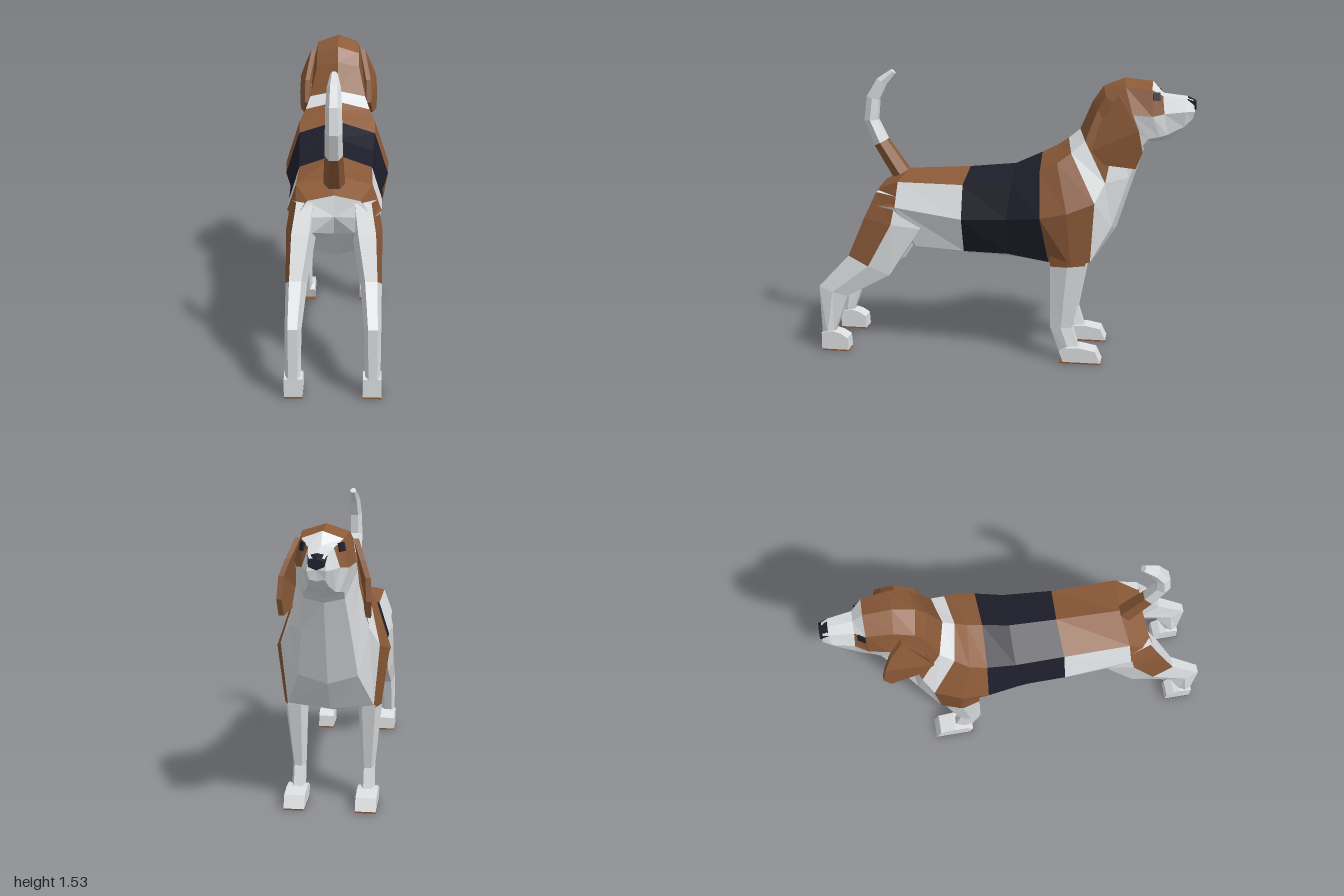
import * as THREE from 'three';

const mat = (name, color) => Object.assign(new THREE.MeshStandardMaterial({ color }), { name });

export function createModel() {
  const brown = mat('brown coat', 0x8b5a38);
  const white = mat('white coat', 0xdcdfe1);
  const black = mat('black coat', 0x1e1e2b);
  const palette = [brown, white, black];
  const BROWN = 0, WHITE = 1, BLACK = 2;

  const model = new THREE.Group();
  model.name = 'dog';
  const dog = new THREE.Group();
  dog.name = 'body parts';
  dog.rotation.y = 0.078;
  model.add(dog);

  const add = (name, geometry, material) => {
    const mesh = new THREE.Mesh(geometry, material);
    mesh.name = name;
    dog.add(mesh);
    return mesh;
  };

  // Faceted skin over closed rings of [x, y, z]; pick(segment, column) gives the colour
  function loft(name, rings, pick) {
    const tris = [[], [], []];
    const n = rings[0].length;
    rings.slice(0, -1).forEach((ring, i) => {
      const next = rings[i + 1];
      for (let j = 0; j < n; j++) {
        const k = (j + 1) % n;
        tris[pick(i, j)].push([ring[j], ring[k], next[k]], [ring[j], next[k], next[j]]);
      }
    });
    const cap = (ring, flip, colour) => {
      const mid = [0, 1, 2].map(a => ring.reduce((s, p) => s + p[a], 0) / n);
      ring.forEach((p, j) => {
        const q = ring[(j + 1) % n];
        tris[colour].push(flip ? [mid, q, p] : [mid, p, q]);
      });
    };
    cap(rings[0], true, WHITE);
    cap(rings[rings.length - 1], false, WHITE);

    // Turn all faces outward using the signed volume
    let volume = 0;
    const v = tri => tri.map(p => new THREE.Vector3(...p));
    tris.flat().forEach(t => { const [a, b, c] = v(t); volume += a.dot(b.cross(c)); });
    const geometry = new THREE.BufferGeometry();
    const positions = [];
    tris.forEach((list, m) => {
      if (!list.length) return;
      geometry.addGroup(positions.length / 3, list.length * 3, m);
      list.forEach(([a, b, c]) => positions.push(...a, ...(volume > 0 ? b : c), ...(volume > 0 ? c : b)));
    });
    geometry.setAttribute('position', new THREE.Float32BufferAttribute(positions, 3));
    geometry.computeVertexNormals();
    return add(name, geometry, palette);
  }

  // Mirrored ring: spine, ridge, widest, low side, underside
  const section = half => [...half, ...half.slice(1, 4).reverse().map(([x, y, z]) => [-x, y, z])];
  const row = j => (j < 4 ? j : 7 - j);

  // Torso, from rump to collar
  const collar = [[0, 1.23, -0.40], [0.155, 1.19, -0.44], [0.20, 0.98, -0.55], [0.15, 0.74, -0.585], [0, 0.70, -0.60]];
  const torso = [
    [[0, 0.925, 0.66], [0.13, 0.90, 0.67], [0.19, 0.82, 0.70], [0.10, 0.74, 0.68], [0, 0.72, 0.63]],
    [[0, 0.99, 0.53], [0.19, 0.95, 0.55], [0.235, 0.82, 0.56], [0.18, 0.60, 0.46], [0, 0.55, 0.46]],
    [[0, 1.01, 0.19], [0.19, 0.945, 0.20], [0.245, 0.77, 0.20], [0.17, 0.58, 0.20], [0, 0.525, 0.20]],
    [[0, 1.035, -0.06], [0.20, 0.97, -0.06], [0.25, 0.78, -0.04], [0.19, 0.58, -0.04], [0, 0.515, -0.04]],
    [[0, 1.10, -0.20], [0.21, 1.03, -0.21], [0.285, 0.80, -0.22], [0.21, 0.55, -0.26], [0, 0.495, -0.28]],
    [[0, 1.14, -0.28], [0.21, 1.08, -0.30], [0.29, 0.83, -0.36], [0.25, 0.54, -0.38], [0, 0.50, -0.38]],
    [[0, 1.18, -0.34], [0.18, 1.13, -0.37], [0.25, 0.88, -0.50], [0.22, 0.56, -0.48], [0, 0.54, -0.50]],
    collar,
  ].map(section);
  loft('torso', torso, (i, j) => {
    const r = row(j);
    if (i === 0) return r < 2 ? BROWN : WHITE;
    if (i === 1) return r < 1 ? BROWN : WHITE;
    if (i === 6 || r === 3) return WHITE;
    return i < 4 ? BLACK : BROWN;
  });

  // Neck, head and muzzle
  const head = [
    collar,
    [[0, 1.38, -0.465], [0.12, 1.35, -0.50], [0.155, 1.20, -0.59], [0.12, 1.00, -0.67], [0, 0.97, -0.685]],
    [[0, 1.46, -0.52], [0.12, 1.42, -0.54], [0.15, 1.28, -0.62], [0.10, 1.16, -0.73], [0, 1.14, -0.74]],
    [[0, 1.505, -0.63], [0.115, 1.47, -0.64], [0.15, 1.33, -0.68], [0.10, 1.20, -0.76], [0, 1.17, -0.77]],
    [[0, 1.49, -0.775], [0.10, 1.455, -0.775], [0.125, 1.32, -0.78], [0.085, 1.21, -0.82], [0, 1.18, -0.83]],
    [[0, 1.43, -0.83], [0.06, 1.42, -0.83], [0.09, 1.33, -0.84], [0.07, 1.22, -0.86], [0, 1.19, -0.87]],
    [[0, 1.415, -0.95], [0.045, 1.41, -0.95], [0.07, 1.34, -0.95], [0.05, 1.26, -0.94], [0, 1.245, -0.94]],
    [[0, 1.40, -0.985], [0.035, 1.395, -0.985], [0.045, 1.34, -0.995], [0.035, 1.30, -0.985], [0, 1.29, -0.98]],
  ].map(section);
  loft('head', head, (i, j) => {
    const r = row(j);
    if (i > 4 || r > 1) return WHITE;
    return i === 4 && r === 0 ? WHITE : BROWN;
  });

  // Nose
  loft('nose', [[0.046, -0.955, 1.416], [0.04, -1.0, 1.395]].map(([w, z, top]) => [
    [-w, top - 0.01, z], [0, top, z], [w, top - 0.01, z], [w * 0.9, 1.36, z - 0.002], [0, 1.345, z - 0.002], [-w * 0.9, 1.36, z - 0.002],
  ]), () => BLACK).material = black;

  // Slab from a [z, y] outline, centred on x = 0
  function slab(outline, width) {
    const shape = new THREE.Shape(outline.map(([z, y]) => new THREE.Vector2(z, y)));
    const geometry = new THREE.ExtrudeGeometry(shape, { depth: width, bevelEnabled: false });
    return geometry.rotateY(-Math.PI / 2).translate(width / 2, 0, 0);
  }

  // Limb from rows of [backZ, backY, frontZ, frontY, innerX, outerX]
  const limb = (name, side, rows, pick) => loft(name, rows.map(([bz, by, fz, fy, a, b]) => {
    const c = (b - a) * 0.22, mz = (bz + fz) / 2, my = (by + fy) / 2;
    return [[b - c, by, bz], [b, my, mz], [b - c, fy, fz], [a + c, fy, fz], [a, my, mz], [a + c, by, bz]]
      .map(([x, y, z]) => [x * side, y, z]);
  }), pick);

  const paw = (name, x, outline, width) => {
    add(name, slab(outline, width).translate(x, 0, 0), white);
    const zs = outline.map(p => p[0]), lo = Math.min(...zs), hi = Math.max(...zs);
    add(name + 'Sole', new THREE.BoxGeometry(width, 0.008, hi - lo).translate(x, 0.004, (lo + hi) / 2), brown);
  };

  for (const side of [1, -1]) {
    limb('frontLeg', side, [
      [-0.27, 0.78, -0.49, 0.78, 0.12, 0.265],
      [-0.27, 0.53, -0.455, 0.54, 0.13, 0.252],
      [-0.27, 0.19, -0.39, 0.19, 0.147, 0.217],
      [-0.33, 0.03, -0.43, 0.06, 0.145, 0.22],
    ], (i, j) => (i === 0 && j < 2 ? BROWN : WHITE));
    paw('frontPaw', side * 0.185, [[-0.345, 0.008], [-0.325, 0.06], [-0.36, 0.085], [-0.43, 0.088], [-0.515, 0.072], [-0.545, 0.008]], 0.108);

    // Hind leg with the brown stripe down the back of the thigh
    limb('hindLeg', side, [
      [0.67, 0.89, 0.44, 0.86, 0.07, 0.215],
      [0.735, 0.75, 0.43, 0.70, 0.085, 0.24],
      [0.825, 0.54, 0.60, 0.44, 0.13, 0.237],
      [0.995, 0.36, 0.84, 0.31, 0.15, 0.232],
      [0.985, 0.09, 0.92, 0.09, 0.155, 0.23],
    ], (i, j) => (i < 2 && j === 0 ? BROWN : WHITE));
    paw('hindPaw', side * 0.19, [[0.985, 0.008], [0.985, 0.10], [0.92, 0.11], [0.88, 0.10], [0.84, 0.075], [0.835, 0.008]], 0.09);

    // Drooping ear, flaring out towards its front edge
    const ear = slab([[-0.61, 1.43], [-0.68, 1.34], [-0.715, 1.26], [-0.738, 1.15], [-0.705, 1.065],
      [-0.545, 1.076], [-0.475, 1.146], [-0.51, 1.27]], 0.026);
    const p = ear.attributes.position;
    for (let i = 0; i < p.count; i++) {
      const out = 0.14 + Math.min(0.055, (1.43 - p.getY(i)) * 0.3) + (-0.6 - p.getZ(i)) * 0.15;
      p.setX(i, p.getX(i) + side * out);
    }
    ear.computeVertexNormals();
    add('ear', ear, brown);

    // Eye
    const eye = new THREE.Mesh(new THREE.BoxGeometry(0.042, 0.042, 0.009), black);
    eye.name = 'eye';
    eye.position.set(side * 0.093, 1.42, -0.797);
    eye.lookAt(side * 0.95, 1.62, -1.3);
    dog.add(eye);
  }

  // Tail: six-sided rings of [z, y, radius, angle] along a raised curve
  loft('tail', [
    [0.56, 0.945, 0.055, 0.95], [0.68, 1.13, 0.045, 1.1], [0.733, 1.25, 0.042, 1.5],
    [0.72, 1.37, 0.04, 1.85], [0.67, 1.46, 0.034, 2.2], [0.607, 1.515, 0.018, 2.4],
  ].map(([z, y, r, a]) => Array.from({ length: 6 }, (_, k) => {
    const t = k * Math.PI / 3, d = Math.sin(t) * r;
    return [Math.cos(t) * r, y + Math.cos(a) * d, z - Math.sin(a) * d];
  })), i => (i === 0 ? BROWN : WHITE));

  return model;
}
